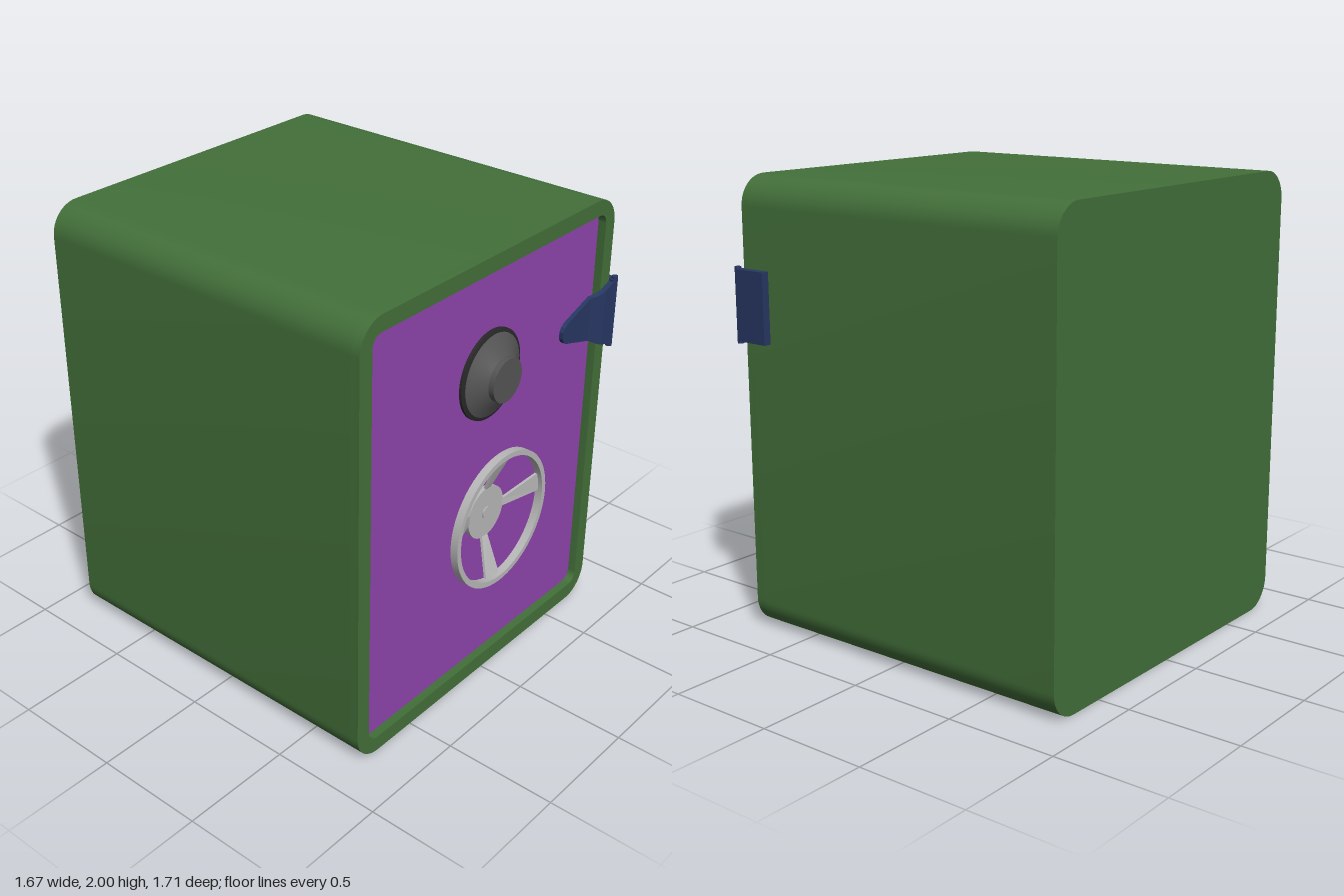
import * as THREE from 'three';
import { toCreasedNormals } from 'three/addons/utils/BufferGeometryUtils.js';

const material = (color) => new THREE.MeshStandardMaterial({ color });
const green = material(0x43703a);
const purple = material(0x8e44ad);
const navy = material(0x273763);
const charcoal = material(0x555555);
const black = material(0x282828);
const steel = material(0xb8b8b8);

const DOOR_Z = 0.745;

function part(name, geometry, mat, x = 0, y = 0, z = 0) {
  const mesh = new THREE.Mesh(geometry, mat);
  mesh.name = name;
  mesh.position.set(x, y, z);
  return mesh;
}

function roundedRect(x0, y0, x1, y1, r, Type = THREE.Shape) {
  const s = new Type();
  s.absarc(x1 - r, y0 + r, r, -Math.PI / 2, 0);
  s.absarc(x1 - r, y1 - r, r, 0, Math.PI / 2);
  s.absarc(x0 + r, y1 - r, r, Math.PI / 2, Math.PI);
  s.absarc(x0 + r, y0 + r, r, Math.PI, Math.PI * 1.5);
  s.closePath();
  return s;
}

function extrude(shape, depth, curveSegments = 6) {
  const g = new THREE.ExtrudeGeometry(shape, { depth, curveSegments, bevelEnabled: false });
  return toCreasedNormals(g, 0.6);
}

// Turned part whose axis points to +z; profile points are [radius, z]
function turned(profile, segments = 48) {
  const g = new THREE.LatheGeometry(profile.map(([r, z]) => new THREE.Vector2(r, z)), segments);
  g.rotateX(Math.PI / 2);
  return toCreasedNormals(g, 0.5);
}

// Solid bar through four-cornered sections, flat faced and capped at both ends
function loft(sections) {
  const pos = [];
  const quad = (a, b, c, d) => [a, b, c, a, c, d].forEach((p) => pos.push(...p));
  for (let i = 0; i < sections.length - 1; i++) {
    const s = sections[i], t = sections[i + 1];
    for (let k = 0; k < 4; k++) {
      const n = (k + 1) % 4;
      quad(s[k], s[n], t[n], t[k]);
    }
  }
  const first = sections[0], last = sections[sections.length - 1];
  quad(first[3], first[2], first[1], first[0]);
  quad(...last);
  const g = new THREE.BufferGeometry();
  g.setAttribute('position', new THREE.Float32BufferAttribute(pos, 3));
  g.computeVertexNormals();
  return g;
}

function createCabinet() {
  const group = new THREE.Group();
  group.name = 'cabinet';
  const outline = () => roundedRect(-0.84, 0, 0.8, 2, 0.13);
  const frame = outline();
  frame.holes.push(roundedRect(-0.77, 0.07, 0.735, 1.93, 0.05, THREE.Path));
  group.add(part('body', extrude(outline(), DOOR_Z + 0.855), green, 0, 0, -0.855));
  group.add(part('doorFrame', extrude(frame, 0.04), green, 0, 0, DOOR_Z));
  const door = roundedRect(-0.77, 0.07, 0.735, 1.93, 0.05);
  group.add(part('door', extrude(door, 0.01), purple, 0, 0, DOOR_Z - 0.007));
  return group;
}

function createDial() {
  const group = new THREE.Group();
  group.name = 'combinationDial';
  group.position.set(0, 1.46, DOOR_Z);
  group.add(part('dialRing', turned([[0.197, 0], [0.197, 0.014], [0.18, 0.02], [0, 0.02]]), black));
  group.add(part('dialKnob', turned([
    [0.18, 0.015], [0.18, 0.022], [0.14, 0.042], [0.095, 0.07], [0.095, 0.095], [0, 0.095],
  ]), charcoal));
  return group;
}

function createWheel() {
  const group = new THREE.Group();
  group.name = 'handWheel';
  group.position.set(0, 0.81, DOOR_Z);
  group.add(part('rim', turned([
    [0.285, 0.075], [0.309, 0.075], [0.309, 0.11], [0.285, 0.11], [0.285, 0.075],
  ], 64), steel));
  group.add(part('hub', turned([[0.12, 0], [0.12, 0.024], [0, 0.024]]), steel));
  group.add(part('hubBolt', turned([[0.027, 0.02], [0.027, 0.03], [0, 0.03]], 20), steel));

  // Each spoke: two inner corners at the hub, two outer corners at the rim
  const spokes = {
    spokeTop: [[0.025, 0.11], [-0.01, 0.11], [-0.022, 0.29], [0.07, 0.28]],
    spokeLeft: [[0.11, -0.025], [0.11, 0.01], [0.275, 0.09], [0.289, 0]],
    spokeBottom: [[-0.018, -0.11], [0.018, -0.11], [0.024, -0.289], [-0.066, -0.28]],
    spokeRight: [[-0.11, 0.04], [-0.11, 0], [-0.289, 0], [-0.275, 0.09]],
  };
  for (const [name, [a, b, c, d]] of Object.entries(spokes)) {
    const section = (p, q, z) => [[...p, z], [...q, z], [...q, z + 0.012], [...p, z + 0.012]];
    const inner = section(a, b, 0.01), outer = section(d, c, 0.078);
    group.add(part(name, loft([inner, outer]), steel));
  }
  return group;
}

function createLatch() {
  const group = new THREE.Group();
  group.name = 'latch';
  // Strap that tapers to a rounded tip and steps over the frame: [x, front z, centre y, half height]
  const stations = [
    [0.498, 0.768, 1.44, 0.015], [0.508, 0.768, 1.44, 0.034], [0.525, 0.768, 1.441, 0.046],
    [0.55, 0.768, 1.442, 0.054], [0.695, 0.768, 1.445, 0.1], [0.708, 0.785, 1.446, 0.108],
    [0.72, 0.8, 1.448, 0.117], [0.74, 0.81, 1.45, 0.127], [0.825, 0.81, 1.453, 0.155],
  ];
  group.add(part('strap', loft(stations.map(([x, z, y, h]) => [
    [x, y - h, z - 0.026], [x, y + h, z - 0.026], [x, y + h, z], [x, y - h, z],
  ])), navy));
  group.add(part('sidePlate', new THREE.BoxGeometry(0.036, 0.31, 0.165), navy, 0.817, 1.453, 0.7225));
  group.add(part('hingePin', new THREE.CylinderGeometry(0.014, 0.014, 0.33, 16), navy, 0.821, 1.453, 0.8));
  return group;
}

export function createModel() {
  const model = new THREE.Group();
  model.name = 'safe';
  model.add(createCabinet(), createDial(), createWheel(), createLatch());
  return model;
}
